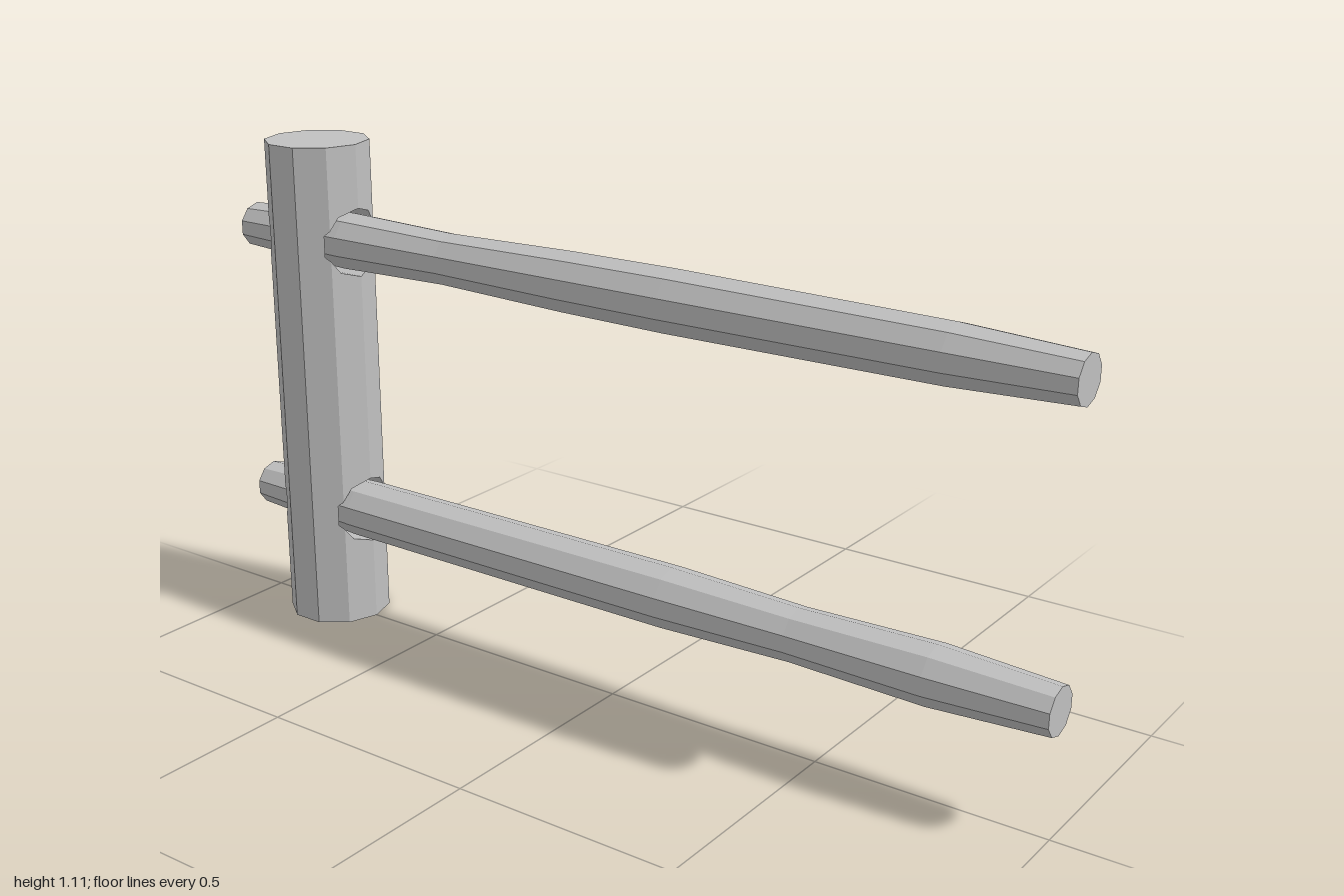
import * as THREE from 'three';

const SIDES = 10, STEP = Math.PI * 2 / SIDES;
const POST_R = 0.115, POST_H = 1.105, POST_Z = -0.80;
const HOLE_R = 0.076, X_STRETCH = 1.04;
const HOLE_Y = [0.265, 0.89];

// Upper right quarter of the ten-sided outline, as [x, height] from the middle outwards
const quarter = (r, sx = 1) =>
  [0, 1, 2].map(i => [r * Math.sin(i * STEP) * sx, r * Math.cos(i * STEP)]);

// Straight-line interpolation along an outline
function heightAt(outline, x) {
  const ax = Math.abs(x);
  for (let i = 1; i < outline.length; i++) {
    const [x0, h0] = outline[i - 1], [x1, h1] = outline[i];
    if (ax <= x1 + 1e-9) return h0 + (h1 - h0) * (ax - x0) / (x1 - x0);
  }
  return outline[outline.length - 1][1];
}

// Ten-sided post with two open holes running through it along z
function postGeometry() {
  const post = quarter(POST_R), hole = quarter(HOLE_R, X_STRETCH);
  const holeX = hole[2][0], edgeX = post[2][0];
  const pos = [];
  const quad = (a, b, c, d) => pos.push(...a, ...b, ...c, ...a, ...c, ...d);

  const half = [...new Set([...post, ...hole].map(p => p[0]))].sort((a, b) => a - b);
  const xs = [...half.slice(1).reverse().map(x => -x), ...half];

  for (let i = 0; i < xs.length - 1; i++) {
    const l = xs[i], r = xs[i + 1];
    const zl = heightAt(post, l), zr = heightAt(post, r);
    const inHole = Math.abs((l + r) / 2) < holeX;
    const hl = heightAt(hole, l), hr = heightAt(hole, r);

    // Bands of skin below, between and above the holes, as [bottom left, bottom right, top left, top right]
    const levels = [[0, 0]];
    if (inHole) for (const y of HOLE_Y) levels.push([y - hl, y - hr], [y + hl, y + hr]);
    levels.push([POST_H, POST_H]);
    for (let k = 0; k < levels.length; k += 2) {
      const [bl, br] = levels[k], [tl, tr] = levels[k + 1];
      quad([l, bl, zl], [r, br, zr], [r, tr, zr], [l, tl, zl]);
      quad([r, br, -zr], [l, bl, -zl], [l, tl, -zl], [r, tr, -zr]);
    }
    // Floor and roof of each hole
    if (inHole) for (const y of HOLE_Y) {
      quad([l, y + hl, zl], [l, y + hl, -zl], [r, y + hr, -zr], [r, y + hr, zr]);
      quad([l, y - hl, zl], [r, y - hr, zr], [r, y - hr, -zr], [l, y - hl, -zl]);
    }
    // Top and bottom ends
    quad([l, POST_H, zl], [r, POST_H, zr], [r, POST_H, -zr], [l, POST_H, -zl]);
    quad([l, 0, -zl], [r, 0, -zr], [r, 0, zr], [l, 0, zl]);
  }

  // Flat outer sides, and the upright side walls of the holes
  const ez = post[2][1], hz = heightAt(post, holeX), hh = hole[2][1];
  quad([edgeX, 0, ez], [edgeX, 0, -ez], [edgeX, POST_H, -ez], [edgeX, POST_H, ez]);
  quad([-edgeX, 0, -ez], [-edgeX, 0, ez], [-edgeX, POST_H, ez], [-edgeX, POST_H, -ez]);
  for (const y of HOLE_Y) {
    quad([holeX, y - hh, -hz], [holeX, y - hh, hz], [holeX, y + hh, hz], [holeX, y + hh, -hz]);
    quad([-holeX, y - hh, hz], [-holeX, y - hh, -hz], [-holeX, y + hh, -hz], [-holeX, y + hh, hz]);
  }

  const g = new THREE.BufferGeometry();
  g.setAttribute('position', new THREE.Float32BufferAttribute(pos, 3));
  g.computeVertexNormals();
  return g;
}

// Hewn rail with tapered ends; stations are [z, radius] from back to front
function railGeometry(stations) {
  const pts = [[-1, 0], ...stations, [1, 0]].map(([z, r]) => new THREE.Vector2(r, z));
  const g = new THREE.LatheGeometry(pts, SIDES);
  g.rotateX(Math.PI / 2);
  g.scale(X_STRETCH, 1, 1);
  return g;
}

export function createModel() {
  const model = new THREE.Group();
  model.name = 'fenceSection';
  const wood = new THREE.MeshStandardMaterial({ color: 0xc0c0c0, flatShading: true });
  wood.name = 'plainGrey';

  const add = (name, geometry, y, z) => {
    const mesh = new THREE.Mesh(geometry, wood);
    mesh.name = name;
    mesh.position.set(0, y, z);
    model.add(mesh);
  };

  add('post', postGeometry(), 0, POST_Z);
  add('lowerRail', railGeometry([
    [-1, 0.05], [-0.7, 0.065], [-0.1, 0.066], [0.15, 0.066], [0.45, 0.057], [0.75, 0.063], [1, 0.05],
  ]), HOLE_Y[0], 0);
  add('upperRail', railGeometry([
    [-1, 0.05], [-0.7, 0.064], [-0.42, 0.057], [-0.1, 0.065], [0.15, 0.067], [0.75, 0.061], [1, 0.049],
  ]), HOLE_Y[1], 0);

  return model;
}
